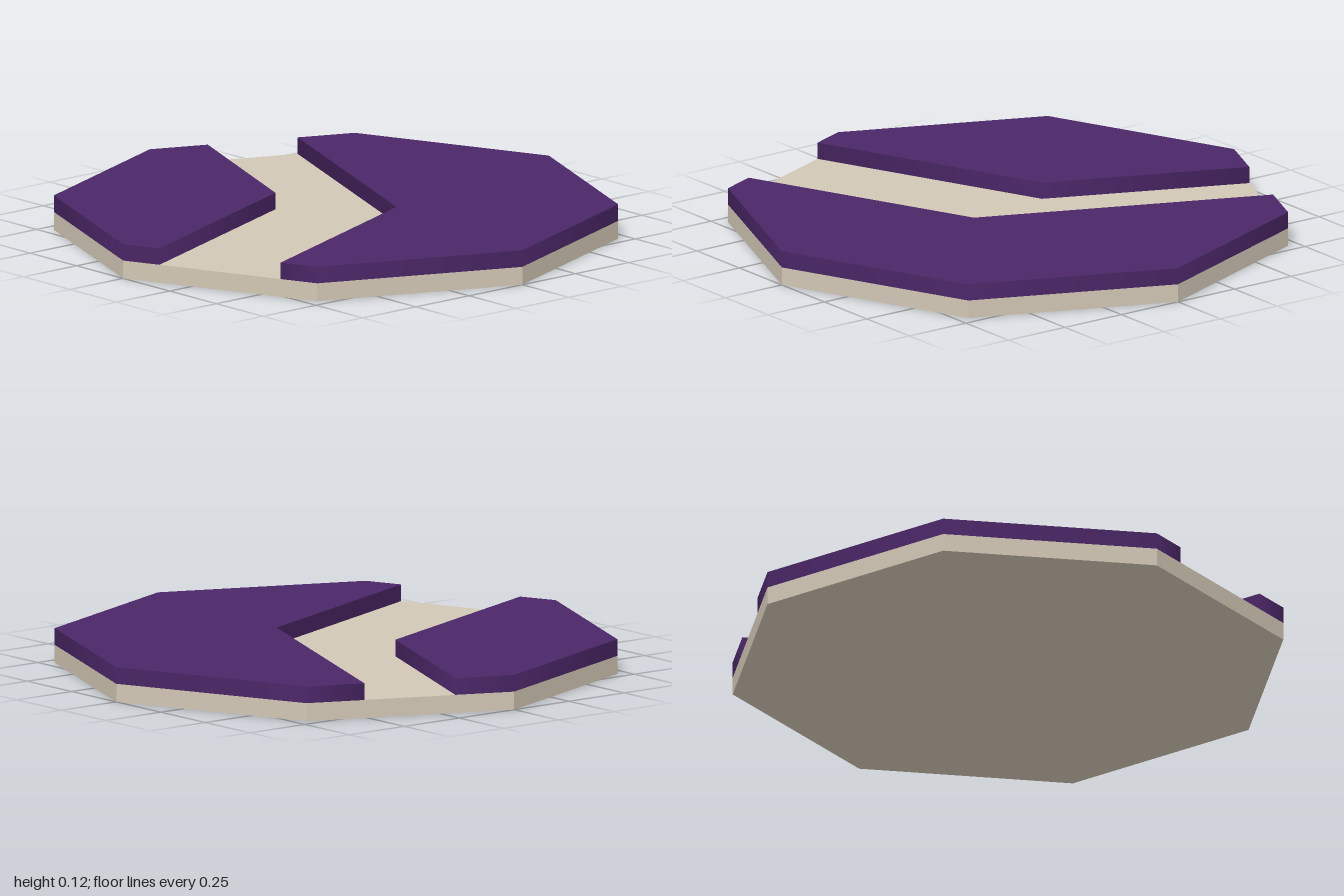
import * as THREE from 'three';

const BASE_TOP = 0.065, TOP = 0.125, C = Math.SQRT1_2;

// Upright prism over an [x, z] outline
function prism(outline, y0, y1) {
  const shape = new THREE.Shape(outline.map(([x, z]) => new THREE.Vector2(x, -z)));
  const geo = new THREE.ExtrudeGeometry(shape, { depth: y1 - y0, bevelEnabled: false });
  return geo.rotateX(-Math.PI / 2).translate(0, y0, 0);
}

// Blend the wall normals around the outline, leaving the caps flat
function smoothWalls(geo) {
  const { position: p, normal: n } = geo.attributes;
  const sums = new Map();
  const key = i => `${p.getX(i).toFixed(3)},${p.getZ(i).toFixed(3)}`;
  const isWall = i => Math.abs(n.getY(i)) < 0.5;
  const faceNormal = i => new THREE.Vector3().fromBufferAttribute(n, i);
  for (let i = 0; i < p.count; i++) {
    if (!isWall(i)) continue;
    const k = key(i);
    if (!sums.has(k)) sums.set(k, new THREE.Vector3());
    sums.get(k).add(faceNormal(i));
  }
  for (let i = 0; i < p.count; i++) {
    if (!isWall(i)) continue;
    const v = sums.get(key(i)).clone().normalize();
    n.setXYZ(i, v.x, v.y, v.z);
  }
  return geo;
}

export function createModel() {
  const group = new THREE.Group();
  const beige = new THREE.MeshStandardMaterial({ color: 0xd2c7b5 });
  const purple = new THREE.MeshStandardMaterial({ color: 0x4b2768 });
  const add = (name, geo, material) => {
    const mesh = new THREE.Mesh(geo, material);
    mesh.name = name;
    group.add(mesh);
  };

  // Octagonal base, corners on the axes
  const octagon = Array.from({ length: 8 }, (_, i) =>
    [Math.cos(i * Math.PI / 4), Math.sin(i * Math.PI / 4)]);
  add('base', prism(octagon, 0, BASE_TOP), beige);

  // Two raised slabs leaving a bent channel between them
  const largeSlab = [[-0.789, -0.51], [-C, -C], [0, -1], [C, -C], [1, 0], [C, C],
    [0.574, 0.762], [0.22, -0.092]];
  const smallSlab = [[-0.917, -0.2], [-0.22, 0.092], [0.132, 0.945], [0, 1], [-C, C], [-1, 0]];
  add('largeRaisedSlab', smoothWalls(prism(largeSlab, BASE_TOP, TOP)), purple);
  add('smallRaisedSlab', smoothWalls(prism(smallSlab, BASE_TOP, TOP)), purple);

  return group;
}
